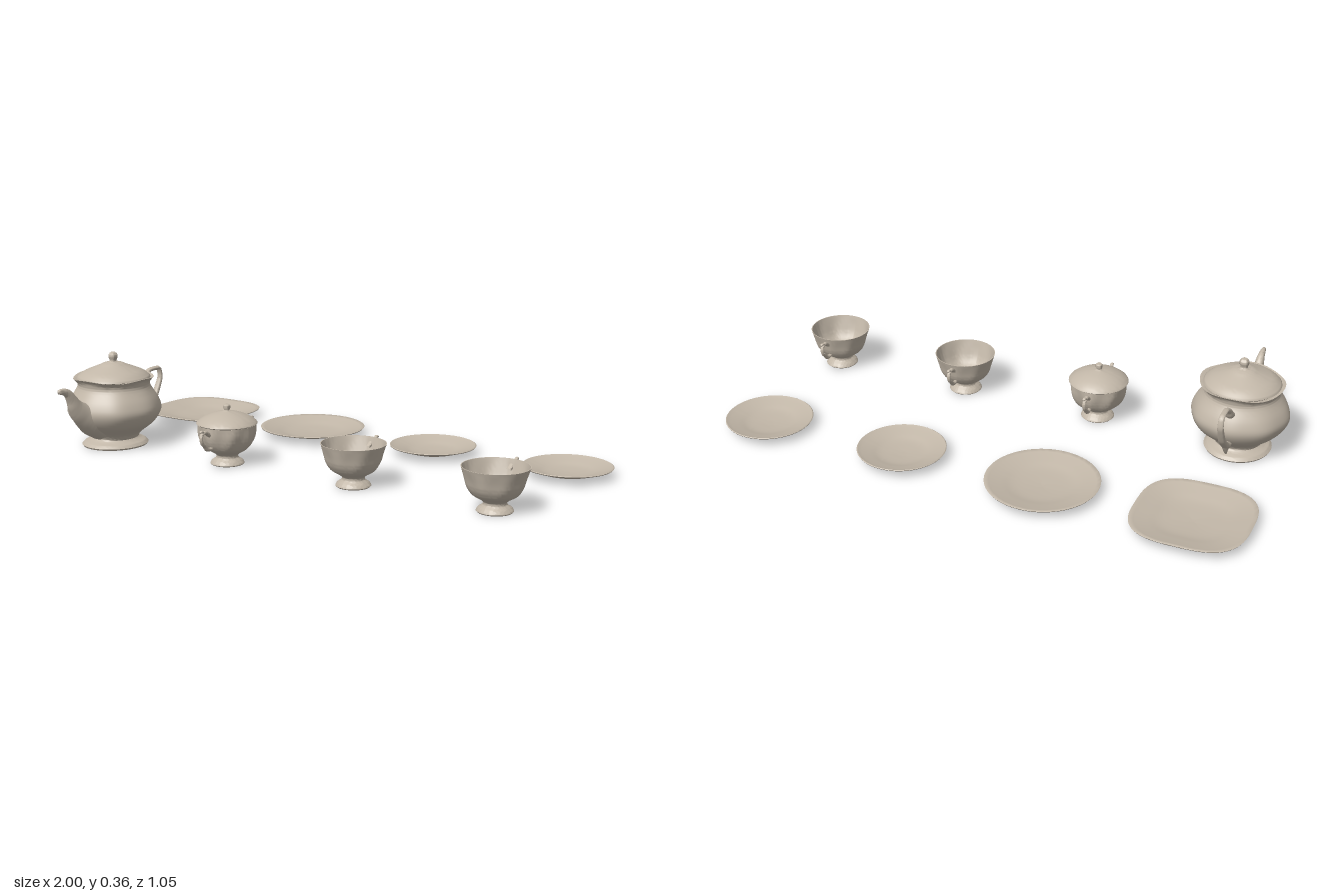
import * as THREE from 'three';
import { mergeVertices, toCreasedNormals } from 'three/addons/utils/BufferGeometryUtils.js';

const clay = new THREE.MeshStandardMaterial({ color: 0xc2b7a8 });
clay.name = 'pale taupe clay';

function add(parent, name, geometry) {
  const mesh = new THREE.Mesh(geometry, clay);
  mesh.name = name;
  parent.add(mesh);
  return mesh;
}

// Lathe a profile of [radius, height]; bend(r, y, angle) returns a new radius and height
function turned(profile, bend, segments = 64) {
  const lathe = new THREE.LatheGeometry(profile.map(([r, y]) => new THREE.Vector2(r, y)), segments);
  lathe.deleteAttribute('uv');
  lathe.deleteAttribute('normal');
  const p = lathe.attributes.position;
  for (let i = 0; bend && i < p.count; i++) {
    const r = Math.hypot(p.getX(i), p.getZ(i));
    const a = Math.atan2(p.getX(i), p.getZ(i));
    const [r2, y2] = bend(r, p.getY(i), a);
    p.setXYZ(i, Math.sin(a) * r2, y2, Math.cos(a) * r2);
  }
  const g = mergeVertices(lathe, 1e-5);
  g.computeVertexNormals();
  return toCreasedNormals(g, 0.9);
}

// Round the outline through its control points
function smooth(points, n) {
  const curve = new THREE.SplineCurve(points.map(([r, y]) => new THREE.Vector2(r, y)));
  return curve.getPoints(n).map(v => [Math.max(v.x, 0), v.y]);
}

// Tube along a [z, y] path with a radius for each point; width scales it across x, low tension keeps corners
function sweep(points, radii, { width = 1, closeTip = false, tension = 0.5 } = {}) {
  const curve = new THREE.CatmullRomCurve3(points.map(([z, y]) => new THREE.Vector3(0, y, z)), false, 'catmullrom', tension);
  const rows = 44, sides = 14;
  const g = new THREE.TubeGeometry(curve, rows, 1, sides, false);
  const p = g.attributes.position, v = new THREE.Vector3();
  for (let i = 0; i <= rows; i++) {
    const c = curve.getPointAt(i / rows);
    const f = curve.getUtoTmapping(i / rows) * (radii.length - 1);
    const k = Math.min(Math.floor(f), radii.length - 2);
    let r = THREE.MathUtils.lerp(radii[k], radii[k + 1], f - k);
    if (closeTip && i === rows) r = 0.0005;
    for (let j = 0; j <= sides; j++) {
      const n = i * (sides + 1) + j;
      v.fromBufferAttribute(p, n).sub(c).multiplyScalar(r);
      v.x *= width;
      v.add(c);
      p.setXYZ(n, v.x, v.y, v.z);
    }
  }
  g.deleteAttribute('uv');
  g.deleteAttribute('normal');
  const merged = mergeVertices(g, 1e-5);
  merged.computeVertexNormals();
  return toCreasedNormals(merged, 0.9);
}

// Soft fluting between two heights
const flutes = (n, amount, low, high) => (r, y, a) => {
  const t = THREE.MathUtils.clamp((y - low) / (high - low), 0, 1);
  return [r * (1 + amount * Math.sin(Math.PI * t) * Math.cos(n * a)), y];
};

function group(name, x, z) {
  const g = new THREE.Group();
  g.name = name;
  g.position.set(x, 0, z);
  return g;
}

function teapot() {
  const g = group('teapot', -0.795, 0.222);
  const wall = smooth([[0.13, 0.01], [0.119, 0.02], [0.1, 0.028], [0.09, 0.039], [0.108, 0.06], [0.152, 0.095],
    [0.176, 0.14], [0.167, 0.18], [0.142, 0.222], [0.136, 0.238], [0.14, 0.253], [0.152, 0.266]], 50);
  const profile = [[0, 0.012], [0.11, 0.012], [0.126, 0.004], ...wall, [0.146, 0.266], [0.132, 0.255], [0, 0.25]];
  const fluted = flutes(8, 0.01, 0.04, 0.25);
  add(g, 'teapotBody', turned(profile, (r, y, a) => {
    const [r2] = fluted(r, y, a);
    // Foot slightly longer front to back, rim gently waved
    const oval = y < 0.035 ? 1 - 0.06 * Math.sin(a) ** 2 : 1;
    return [r2 * oval, y + (y > 0.25 && r > 0.13 ? 0.004 * Math.cos(4 * a) : 0)];
  }, 80));
  add(g, 'teapotLid', turned([[0, 0.256], [0.13, 0.256], [0.139, 0.263],
    ...smooth([[0.138, 0.267], [0.115, 0.285], [0.085, 0.298], [0.055, 0.31], [0.035, 0.319], [0.016, 0.323],
      [0.013, 0.328], [0.017, 0.339], [0.016, 0.351], [0.008, 0.359], [0, 0.361]], 34)]));
  add(g, 'teapotSpout', sweep(
    [[0.08, 0.11], [0.135, 0.127], [0.18, 0.153], [0.212, 0.184], [0.232, 0.216], [0.252, 0.242], [0.277, 0.253], [0.302, 0.255]],
    [0.075, 0.062, 0.044, 0.031, 0.022, 0.016, 0.012, 0.008], { width: 0.85, closeTip: true }));
  add(g, 'teapotHandle', sweep(
    [[-0.13, 0.204], [-0.16, 0.215], [-0.174, 0.237], [-0.21, 0.257], [-0.262, 0.256], [-0.27, 0.22],
      [-0.256, 0.187], [-0.235, 0.15], [-0.2, 0.118], [-0.175, 0.1], [-0.14, 0.095]],
    [0.014, 0.014, 0.011, 0.008, 0.008, 0.009, 0.01, 0.011, 0.012, 0.014, 0.012], { width: 1.25, tension: 0.25 }));
  // Small curl under the handle
  add(g, 'handleCurl', sweep([[-0.19, 0.11], [-0.178, 0.088], [-0.169, 0.063]], [0.011, 0.01, 0.004], { width: 1.1, closeTip: true }));
  return g;
}

const foot = [[0, 0.01], [0.05, 0.01], [0.058, 0.004]];
const bowlWall = [[0.062, 0.008], [0.057, 0.017], [0.044, 0.026], [0.039, 0.036], [0.05, 0.047], [0.077, 0.064], [0.094, 0.09], [0.103, 0.12]];

// Looped ear handle facing +z, turned about for the back
function ear(parent, direction) {
  const holder = new THREE.Group();
  holder.name = 'earHandle';
  add(holder, 'handleLoop', sweep(
    [[0.09, 0.122], [0.108, 0.132], [0.124, 0.143], [0.142, 0.141], [0.15, 0.128], [0.145, 0.108],
      [0.129, 0.093], [0.116, 0.08], [0.085, 0.076]],
    [0.007, 0.008, 0.007, 0.006, 0.006, 0.006, 0.007, 0.008, 0.006], { width: 1.15 }));
  add(holder, 'handleThumbRest', sweep([[0.135, 0.143], [0.147, 0.15], [0.157, 0.147]], [0.005, 0.005, 0.003],
    { width: 1.3, closeTip: true }));
  if (direction < 0) holder.rotation.y = Math.PI;
  parent.add(holder);
}

function sugarBowl() {
  const g = group('sugarBowl', -0.253, 0.223);
  add(g, 'sugarBowlBody', turned([...foot, ...smooth([...bowlWall, [0.106, 0.152]], 36), [0.1, 0.154], [0, 0.15]],
    flutes(8, 0.04, 0.045, 0.15), 96));
  add(g, 'sugarBowlLid', turned([[0, 0.15], [0.104, 0.151], [0.111, 0.156],
    ...smooth([[0.108, 0.161], [0.085, 0.177], [0.055, 0.19], [0.03, 0.197], [0.013, 0.201], [0.01, 0.205],
      [0.013, 0.212], [0.012, 0.22], [0.006, 0.226], [0, 0.227]], 28)]));
  ear(g, 1);
  ear(g, -1);
  return g;
}

function cup(x) {
  const g = group('cup', x, 0.223);
  const outer = smooth([...bowlWall, [0.114, 0.156]], 36);
  const inner = smooth([[0.111, 0.156], [0.1, 0.12], [0.088, 0.09], [0.07, 0.068], [0.045, 0.056], [0, 0.052]], 20);
  add(g, 'cupBody', turned([...foot, ...outer, ...inner], flutes(8, 0.02, 0.045, 0.15), 96));
  ear(g, -1);
  return g;
}

// Shallow dish; squareness above zero pushes the outline toward a rounded square
function plate(name, x, radius, base, squareness = 0) {
  const g = group(name, x, -0.324);
  const profile = [[0, 0.004], [base, 0.004], [(base + radius) / 2, 0.0185], [radius - 0.002, 0.035], [radius, 0.038],
    [radius - 0.003, 0.04], ...smooth([[radius * 0.92, 0.036], [radius * 0.7, 0.026], [radius * 0.45, 0.016], [0, 0.011]], 16)];
  add(g, name + 'Dish', turned(profile, (r, y, a) => {
    const n = 2 + squareness;
    const s = Math.pow(Math.pow(Math.abs(Math.sin(a)), n) + Math.pow(Math.abs(Math.cos(a)), n), -1 / n);
    return [r * s, y];
  }, 96));
  return g;
}

export function createModel() {
  const set = new THREE.Group();
  set.name = 'teaSet';
  set.add(teapot(), sugarBowl(), cup(0.292), cup(0.837));
  set.add(plate('squarePlate', -0.796, 0.204, 0.075, 1), plate('roundPlate', -0.253, 0.203, 0.075));
  set.add(plate('saucer', 0.291, 0.161, 0.055), plate('saucer', 0.839, 0.161, 0.055));
  return set;
}
